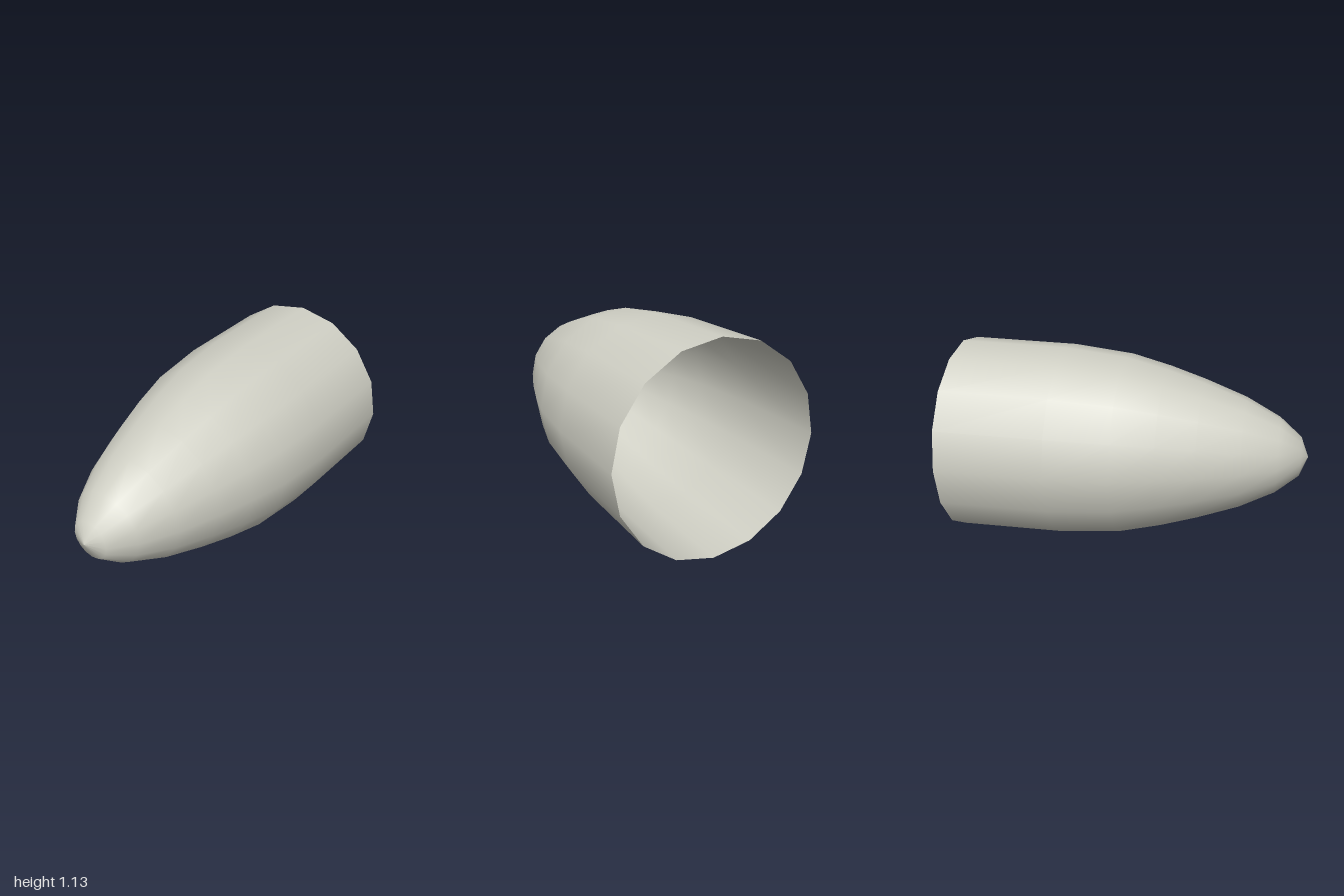
import * as THREE from 'three';

export function createModel() {
  const model = new THREE.Group();
  const paleGrey = new THREE.MeshStandardMaterial({ color: 0xcfcfc4, side: THREE.DoubleSide });
  paleGrey.name = 'paleGrey';

  // Profile from the open back rim to the rounded tip: [radius, z]
  const profile = [
    [0.566, -1], [0.558, -0.39], [0.522, -0.04], [0.465, 0.19], [0.4, 0.4],
    [0.315, 0.635], [0.215, 0.83], [0.111, 0.955], [0, 1],
  ].map(([r, z]) => new THREE.Vector2(r, z));

  // Hollow sixteen-sided nose cone, turned to point forward
  const shell = new THREE.LatheGeometry(profile, 16);
  shell.rotateX(Math.PI / 2);
  const noseCone = new THREE.Mesh(shell, paleGrey);
  noseCone.name = 'noseCone';
  noseCone.position.y = 0.567;
  model.add(noseCone);

  return model;
}
